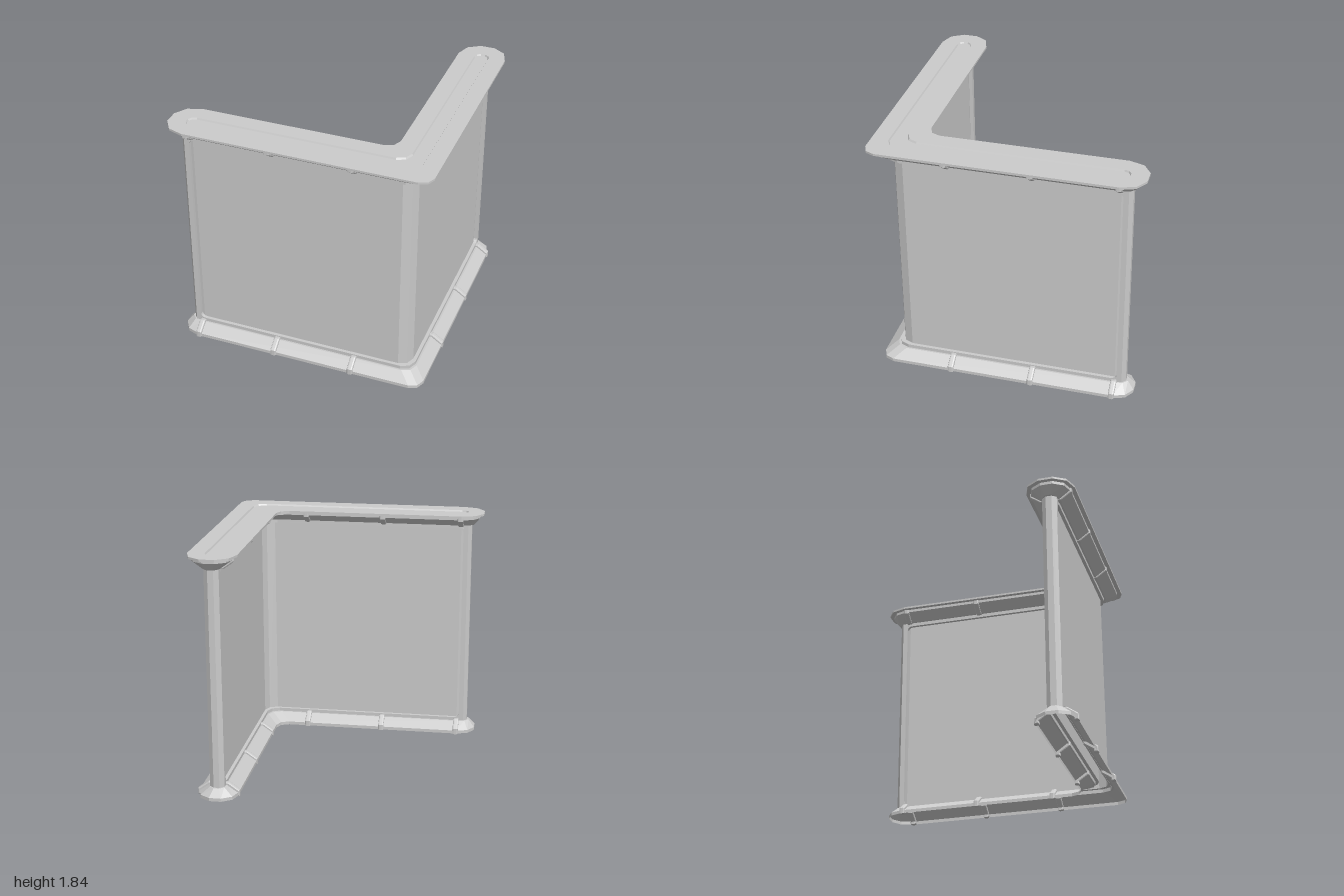
import * as THREE from 'three';

const C = 0.816;   // centre line of both arms
const R = 0.09;    // rounding of the L corner
const MID = 0.915; // half of the upper/lower mirror line
const mat = new THREE.MeshStandardMaterial({ color: 0xcccccc, flatShading: true, side: THREE.DoubleSide });

function add(parent, name, geometry) {
  const mesh = new THREE.Mesh(geometry, mat);
  mesh.name = name;
  parent.add(mesh);
  return mesh;
}

// Plan outline of the L: half width h, reach e beyond each arm end, as [x, z]
function outline(h, e) {
  const swap = (list) => list.map(([x, z]) => [z, x]).reverse();
  const o = C + h, i = C - h;
  const outer = [[-C - e, C + 0.3 * h], [-C - 0.68 * e, C + 0.8 * h], [-C - 0.08 * e, o], [o - R, o]];
  const inner = [[-C - e, C - 0.3 * h], [-C - 0.68 * e, C - 0.8 * h], [-C - 0.08 * e, i], [i - R, i]];
  return [
    ...outer, [o - 0.3 * R, o - 0.3 * R], ...swap(outer),
    ...swap(inner).reverse(), [i - 0.3 * R, i - 0.3 * R], ...inner.slice().reverse(),
  ];
}

// Skin through a stack of outlines, each given as [h, e, y]
function loft(rings) {
  const pos = [], index = [];
  const n = outline(0.1, 0.1).length;
  rings.forEach(([h, e, y]) => outline(h, e).forEach(([x, z]) => pos.push(x, y, z)));
  for (let k = 0; k < rings.length - 1; k++) {
    for (let j = 0; j < n; j++) {
      const a = k * n + j, b = k * n + (j + 1) % n;
      index.push(a, b, b + n, a, b + n, a + n);
    }
  }
  const g = new THREE.BufferGeometry();
  g.setAttribute('position', new THREE.Float32BufferAttribute(pos, 3));
  g.setIndex(index);
  g.computeVertexNormals();
  return g;
}

const shapeOf = (pts) => new THREE.Shape(pts.map(([x, y]) => new THREE.Vector2(x, y)));

// Clip hugging the sloped moulding, extruded across its width
function ribGeometry(upper) {
  const profile = [[0.055, 0.092], [0.074, 0.092], [0.15, 0.038], [0.15, 0.004], [0.13, 0.004], [0.13, 0.02], [0.055, 0.07]];
  const pts = profile.map(([d, y]) => [d, upper ? 2 * MID - y : y]);
  const g = new THREE.ExtrudeGeometry(shapeOf(pts), {
    depth: 0.02, bevelEnabled: true, bevelThickness: 0.012, bevelSize: 0.008, bevelSegments: 2,
  });
  return g.translate(0, 0, -0.01).rotateY(-Math.PI / 2);
}

// Rounded corner filler of the recessed panels
function filletGeometry(upper) {
  const x = -0.842, y = upper ? 1.712 : 0.108, s = upper ? -1 : 1, r = 0.045;
  const shape = new THREE.Shape();
  shape.moveTo(x, y);
  shape.lineTo(x + r, y);
  shape.quadraticCurveTo(x, y, x, y + s * r);
  const g = new THREE.ExtrudeGeometry(shape, { depth: 0.11, bevelEnabled: false, curveSegments: 5 });
  return g.translate(0, 0, -0.055);
}

// Details of one arm, laid along x with its free end at -x
function createArm(name) {
  const arm = new THREE.Group();
  arm.name = name;
  const half = [[-0.84, 0.055], [-0.878, 0.055], [-0.905, 0.022]];
  const section = [...half, ...half.map(([x, z]) => [x, -z]).reverse()];
  const post = new THREE.ExtrudeGeometry(shapeOf(section), { depth: 1.67, bevelEnabled: false });
  add(arm, 'endPost', post.rotateX(-Math.PI / 2).translate(0, 0.08, 0));
  for (const upper of [false, true]) {
    add(arm, upper ? 'upperPanelCorner' : 'lowerPanelCorner', filletGeometry(upper));
    for (const x of [-0.82, -0.2, 0.417]) {
      for (const turn of [0, Math.PI]) {
        const rib = add(arm, upper ? 'upperClip' : 'lowerClip', ribGeometry(upper));
        rib.position.x = x;
        rib.rotation.y = turn;
      }
    }
  }
  return arm;
}

export function createModel() {
  const model = new THREE.Group();
  model.name = 'cornerWall';

  // Hollow base moulding, open underneath
  add(model, 'baseMoulding', loft([
    [0.15, 0.152, 0], [0.15, 0.152, 0.025], [0.068, 0.105, 0.082], [0.055, 0.088, 0.082],
  ]));

  // Recessed wall between a lower and an upper rail
  add(model, 'lowerRail', loft([[0.055, 0.088, 0.08], [0.055, 0.088, 0.108], [0.03, 0.06, 0.108]]));
  add(model, 'wallPanel', loft([[0.03, 0.06, 0.108], [0.03, 0.06, 1.712]]));
  add(model, 'upperRail', loft([[0.03, 0.06, 1.712], [0.055, 0.088, 1.712], [0.055, 0.088, 1.742]]));

  // Flared top with a ledge and a shallow groove
  add(model, 'topMoulding', loft([
    [0.055, 0.088, 1.74], [0.068, 0.105, 1.74], [0.15, 0.152, 1.8], [0.15, 0.152, 1.822],
    [0.182, 0.184, 1.822], [0.182, 0.184, 1.838], [0.056, 0.058, 1.838], [0.05, 0.052, 1.826],
  ]));
  const floor = new THREE.ShapeGeometry(shapeOf(outline(0.05, 0.052).map(([x, z]) => [x, -z])));
  add(model, 'grooveFloor', floor.rotateX(-Math.PI / 2).translate(0, 1.826, 0));

  // Two matching arms
  const front = createArm('frontArm');
  front.position.z = C;
  const side = createArm('sideArm');
  side.rotation.y = -Math.PI / 2;
  side.position.x = C;
  model.add(front, side);
  return model;
}
